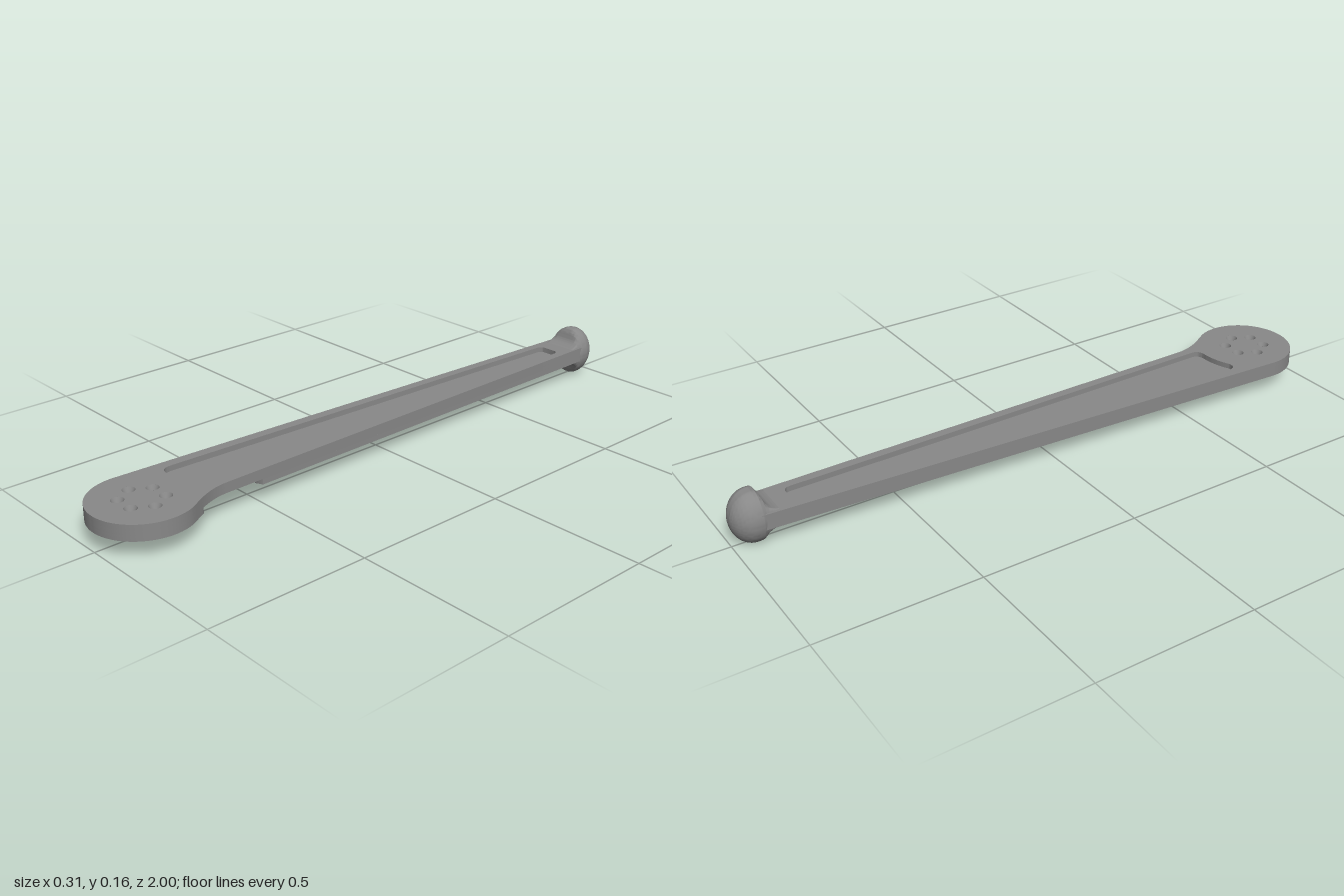
import * as THREE from 'three';
import { toCreasedNormals } from 'three/addons/utils/BufferGeometryUtils.js';

const HUB_Z = 0.845, HUB_R = 0.154;
const material = new THREE.MeshStandardMaterial({ color: 0x888888, side: THREE.DoubleSide });

// Pen that draws in plan coordinates (x, z) on a shape whose y is -z
function pen(path) {
  return {
    move: (x, z) => path.moveTo(x, -z),
    line: (x, z) => path.lineTo(x, -z),
    quad: (a, b, x, z) => path.quadraticCurveTo(a, -b, x, -z),
    cubic: (a, b, c, d, x, z) => path.bezierCurveTo(a, -b, c, -d, x, -z),
  };
}

// Rounded hub and straight left edge, from the neck back to the knob end
function drawHubAndLeft(path, p) {
  path.absarc(0, -HUB_Z, HUB_R, Math.atan2(0.07, 0.137), -Math.PI - 0.05, true);
  p.line(-0.063, -0.93);
  p.line(0.062, -0.93);
}

function fullOutline() {
  const s = new THREE.Shape(), p = pen(s);
  p.move(0.062, -0.93);
  p.line(0.079, 0.62);
  p.cubic(0.08, 0.69, 0.115, 0.735, 0.137, 0.775);
  drawHubAndLeft(s, p);
  return s;
}

// Upper pocket
function pocketHole() {
  const h = new THREE.Path(), p = pen(h);
  p.move(0.035, -0.8);
  p.line(0.051, 0.66);
  p.quad(0.052, 0.685, 0.025, 0.688);
  p.cubic(-0.01, 0.685, -0.05, 0.695, -0.08, 0.71);
  p.quad(-0.114, 0.715, -0.113, 0.67);
  p.line(-0.042, -0.8);
  p.quad(-0.041, -0.822, -0.022, -0.822);
  p.line(0.016, -0.822);
  p.quad(0.034, -0.822, 0.035, -0.8);
  return h;
}

// Underside rim, whose pocket runs out through the side beside the neck
function openOutline() {
  const s = new THREE.Shape(), p = pen(s);
  p.move(0.062, -0.93);
  p.line(0.0777, 0.5);
  p.line(0.056, 0.51);
  p.quad(0.049, 0.51, 0.049, 0.49);
  p.line(0.035, -0.8);
  p.quad(0.034, -0.822, 0.016, -0.822);
  p.line(-0.022, -0.822);
  p.quad(-0.041, -0.822, -0.042, -0.8);
  p.line(-0.113, 0.67);
  p.quad(-0.114, 0.715, -0.08, 0.71);
  p.cubic(-0.05, 0.695, -0.01, 0.685, 0.025, 0.69);
  p.quad(0.065, 0.695, 0.1074, 0.7233);
  p.cubic(0.1173, 0.7422, 0.1282, 0.759, 0.137, 0.775);
  drawHubAndLeft(s, p);
  return s;
}

function circleHole(x, z, r) {
  return new THREE.Path().absarc(x, -z, r, 0, Math.PI * 2, false);
}

const boltSpots = Array.from({ length: 6 }, (_, i) => {
  const a = i * Math.PI / 3;
  return [0.064 * Math.cos(a), HUB_Z + 0.064 * Math.sin(a)];
});
const boltHoles = (r) => boltSpots.map(([x, z]) => circleHole(x, z, r));

function layer(name, shape, holes, y0, y1) {
  shape.holes.push(...holes);
  const g = new THREE.ExtrudeGeometry(shape, { depth: y1 - y0, bevelEnabled: false, curveSegments: 28 });
  g.rotateX(-Math.PI / 2).translate(0, y0, 0);
  const mesh = new THREE.Mesh(toCreasedNormals(g, 0.6), material);
  mesh.name = name;
  return mesh;
}

// Egg-shaped knob; its front side sweeps down into the arm
function knobGeometry() {
  const R = 0.0665, TALL = 0.082 / R, CY = 0.083, N = 64;
  const rings = [];
  // [z, radius, height limit]
  for (let i = 0; i <= 18; i++) {
    const a = (i / 18) * Math.PI / 2;
    rings.push([-0.9335 - R * Math.cos(a), R * Math.sin(a), 1]);
  }
  const sweep = new THREE.SplineCurve([
    [-0.932, 0.13], [-0.925, 0.098], [-0.917, 0.082], [-0.911, 0.066], [-0.905, 0.048],
    [-0.895, 0.036], [-0.88, 0.0285], [-0.86, 0.0235],
  ].map(([z, h]) => new THREE.Vector2(z, h)));
  for (let i = 0; i <= 32; i++) {
    const q = sweep.getPoint(i / 32);
    rings.push([q.x, R - 0.005 * THREE.MathUtils.smoothstep(q.x, -0.922, -0.904), q.y]);
  }
  const pos = [], idx = [];
  rings.forEach(([z, r, limit], k) => {
    for (let j = 0; j < N; j++) {
      const a = ((j + 0.5) / N) * Math.PI * 2;
      // soft minimum keeps the rim of the sweep rounded
      const e = Math.abs(r * TALL * Math.sin(a));
      const dy = Math.sign(Math.sin(a)) * Math.pow(Math.pow(e, -10) + Math.pow(limit, -10), -0.1);
      pos.push(r * Math.cos(a), CY + dy, z);
      if (k) {
        const n = (j + 1) % N, c = k * N, b = c - N;
        idx.push(b + j, b + n, c + j, b + n, c + n, c + j);
      }
    }
  });
  const g = new THREE.BufferGeometry();
  g.setAttribute('position', new THREE.Float32BufferAttribute(pos, 3));
  g.setIndex(idx);
  return toCreasedNormals(g, 0.9);
}

export function createModel() {
  const model = new THREE.Group();
  model.name = 'crankArm';

  // Arm stacked from four slices so that pockets and holes are real cavities
  const arm = new THREE.Group();
  arm.name = 'arm';
  arm.add(
    layer('undersideRim', openOutline(), [circleHole(0, HUB_Z, 0.08)], 0.06, 0.064),
    layer('lowerRim', openOutline(), boltHoles(0.011), 0.064, 0.077),
    layer('web', fullOutline(), boltHoles(0.011), 0.077, 0.092),
    layer('upperRim', fullOutline(), [pocketHole(), ...boltHoles(0.019)], 0.092, 0.109),
  );
  model.add(arm);

  // Conical seats of the bolt holes
  const seat = new THREE.CylinderGeometry(0.019, 0.011, 0.017, 28, 1, true);
  for (const [x, z] of boltSpots) {
    const countersink = new THREE.Mesh(seat, material);
    countersink.name = 'countersink';
    countersink.position.set(x, 0.1005, z);
    model.add(countersink);
  }

  const knob = new THREE.Mesh(knobGeometry(), material);
  knob.name = 'knob';
  model.add(knob);
  return model;
}
